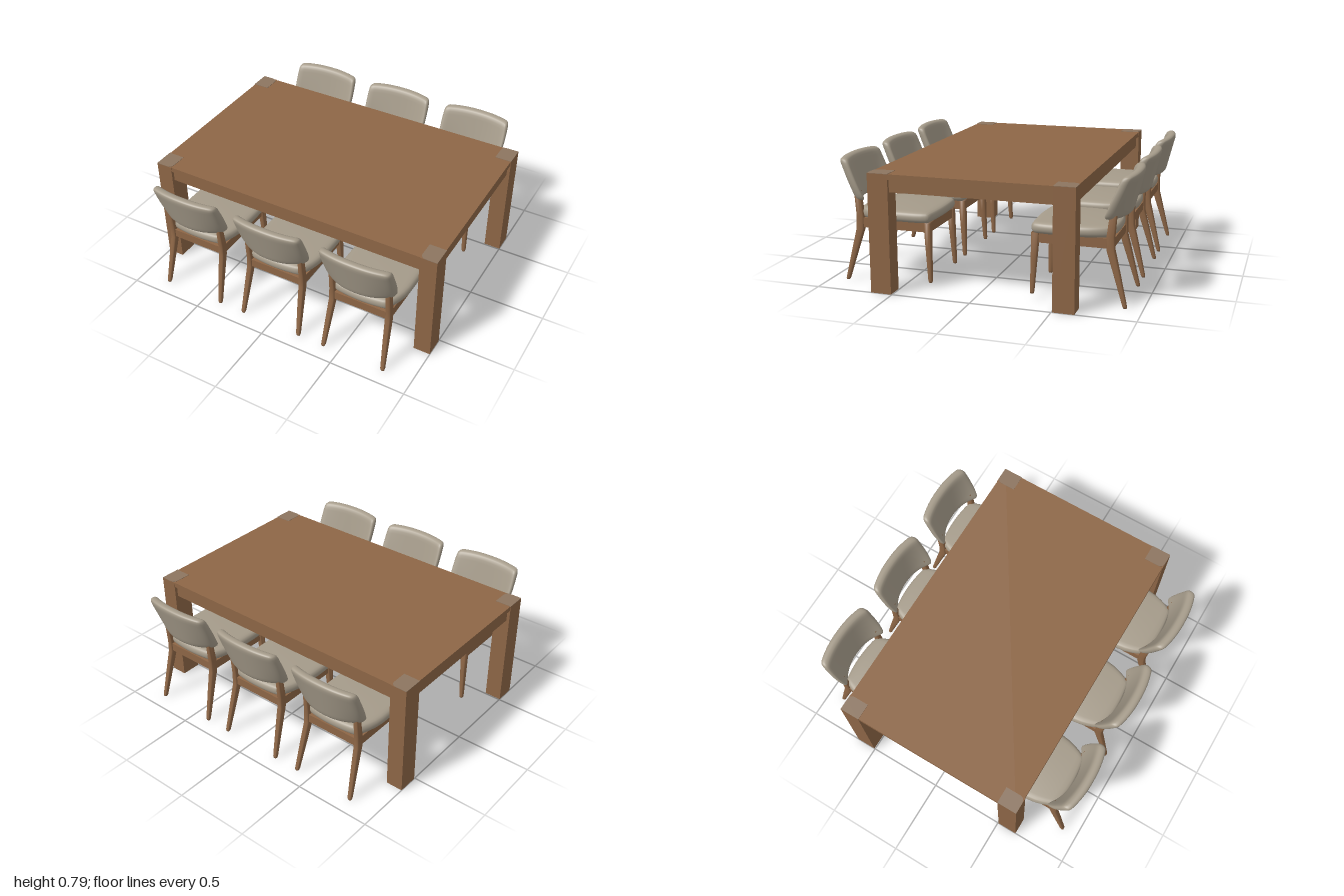
import * as THREE from 'three';
import { mergeVertices } from 'three/addons/utils/BufferGeometryUtils.js';

const material = (name, color) => Object.assign(new THREE.MeshStandardMaterial({ color }), { name });

function add(parent, name, geometry, mat, x = 0, y = 0, z = 0) {
  const mesh = new THREE.Mesh(geometry, mat);
  mesh.name = name;
  mesh.position.set(x, y, z);
  parent.add(mesh);
  return mesh;
}

// Cushion: a finely divided box with rounded edges, bent by a warp rule
function cushion(w, h, d, r, warp) {
  let g = new THREE.BoxGeometry(2, 2, 2, 20, 14, 14);
  g.deleteAttribute('uv');
  g.deleteAttribute('normal');
  g = mergeVertices(g);
  const half = new THREE.Vector3(w / 2, h / 2, d / 2);
  const inner = half.clone().subScalar(r);
  const p = new THREE.Vector3(), core = new THREE.Vector3();
  const pos = g.attributes.position;
  const dense = (t) => Math.sin(t * Math.PI / 2);
  for (let i = 0; i < pos.count; i++) {
    p.fromBufferAttribute(pos, i);
    p.set(dense(p.x), dense(p.y), dense(p.z)).multiply(half);
    core.copy(p).clamp(inner.clone().negate(), inner);
    p.sub(core).setLength(r).add(core);
    warp(p);
    pos.setXYZ(i, p.x, p.y, p.z);
  }
  g.computeVertexNormals();
  return g;
}

// Tapered leg lofted through level rings [x, y, z, halfWidth, halfDepth], bottom to top
function taperedLeg(rings, sides = 12) {
  const pos = [], index = [];
  const soft = (c) => Math.sign(c) * Math.pow(Math.abs(c), 0.6);
  for (const [x, y, z, hw, hd] of rings) {
    for (let i = 0; i < sides; i++) {
      const a = (i / sides) * Math.PI * 2;
      pos.push(x + hw * soft(Math.cos(a)), y, z - hd * soft(Math.sin(a)));
    }
  }
  for (let k = 0; k < rings.length - 1; k++) {
    for (let i = 0; i < sides; i++) {
      const a = k * sides + i, b = k * sides + (i + 1) % sides;
      index.push(a, b, b + sides, a, b + sides, a + sides);
    }
  }
  const top = (rings.length - 1) * sides;
  for (let i = 1; i < sides - 1; i++) {
    index.push(0, i + 1, i, top, top + i, top + i + 1);
  }
  const g = new THREE.BufferGeometry();
  g.setAttribute('position', new THREE.Float32BufferAttribute(pos, 3));
  g.setIndex(index);
  g.computeVertexNormals();
  return g;
}

function makeTable(wood, inlay) {
  const table = new THREE.Group();
  table.name = 'table';
  const H = 0.745, X = 1, Z = 0.638, lw = 0.11, ld = 0.132;

  // Top, flush with the outside of the legs
  add(table, 'tableTop', new THREE.BoxGeometry(2 * X - 0.006, 0.033, 2 * Z - 0.006), wood, 0, H - 0.0165, 0);

  // Corner plate with a rounded inner corner
  const s = new THREE.Shape();
  s.moveTo(0, 0);
  s.lineTo(lw, 0);
  s.lineTo(lw, ld - 0.04);
  s.quadraticCurveTo(lw, ld, lw - 0.04, ld);
  s.lineTo(0, ld);
  const plate = new THREE.ExtrudeGeometry(s, { depth: 0.003, bevelEnabled: false });
  plate.rotateX(-Math.PI / 2);

  for (const sx of [-1, 1]) {
    for (const sz of [-1, 1]) {
      add(table, 'tableLeg', new THREE.BoxGeometry(lw, H, ld), wood, sx * (X - lw / 2), H / 2, sz * (Z - ld / 2));
      const g = plate.clone().translate(-lw / 2, 0, ld / 2);
      // Mirror, and restore the winding where one axis only is flipped
      g.scale(-sx, 1, -sz);
      if (sx * sz < 0) {
        const p = g.attributes.position;
        const v = [new THREE.Vector3(), new THREE.Vector3()];
        for (let i = 0; i < p.count; i += 3) {
          v[0].fromBufferAttribute(p, i + 1);
          v[1].fromBufferAttribute(p, i + 2);
          p.setXYZ(i + 1, ...v[1]);
          p.setXYZ(i + 2, ...v[0]);
        }
      }
      // The shape grows towards -z, so this keeps its square corner outside
      g.scale(1, 1, -1).scale(1, 1, -1);
      g.computeVertexNormals();
      add(table, 'cornerPlate', g, inlay, sx * (X - lw / 2), H - 0.0005, sz * (Z - ld / 2));
    }
  }

  // Aprons set back from the edge, with a shadow groove under the top
  for (const s2 of [-1, 1]) {
    add(table, 'longApron', new THREE.BoxGeometry(2 * (X - lw), 0.07, 0.03), wood, 0, 0.67, s2 * (Z - 0.035));
    add(table, 'longApronCleat', new THREE.BoxGeometry(2 * (X - lw), 0.02, 0.02), wood, 0, 0.707, s2 * (Z - 0.045));
    add(table, 'endApron', new THREE.BoxGeometry(0.03, 0.08, 2 * (Z - ld)), wood, s2 * (X - 0.035), 0.673, 0);
  }
  return table;
}

function makeChair(wood, fabric) {
  const chair = new THREE.Group();
  chair.name = 'chair';

  // Seat, narrowing to the back and slightly domed
  const seat = cushion(0.48, 0.068, 0.52, 0.033, (p) => {
    const u = p.x / 0.24, t = p.z / 0.26;
    p.y += 0.012 * (1 - u * u) * (1 - t * t) * (p.y > 0 ? 1 : 0);
    const back = Math.max(0, (p.z - 0.03) / 0.23), front = Math.max(0, (-p.z - 0.12) / 0.14);
    p.x *= 1 - 0.26 * back ** 2 - 0.07 * front ** 2;
    p.z -= 0.02 * u * u * Math.max(0, t) - 0.015 * u * u * Math.max(0, -t);
  });
  add(chair, 'seat', seat, fabric, 0, 0.442, 0.567);

  // Backrest, leaning back with its sides wrapping forward
  const backrest = cushion(0.48, 0.272, 0.062, 0.029, (p) => {
    const v = p.y / 0.272 + 0.5, u = Math.abs(p.x / 0.24);
    p.z += THREE.MathUtils.lerp(0.852, 0.918, v) - THREE.MathUtils.lerp(0.085, 0.035, v) * u ** 2.3;
    p.x *= 1 - 0.09 * (1 - v) ** 4 - 0.03 * v ** 3;
    p.y -= 0.008 * u * u * v;
  });
  add(chair, 'backrest', backrest, fabric, 0, 0.656, 0);

  for (const s of [-1, 1]) {
    add(chair, 'rearLeg', taperedLeg([
      [s * 0.208, 0, 0.893, 0.011, 0.010],
      [s * 0.207, 0.012, 0.890, 0.014, 0.013],
      [s * 0.197, 0.2, 0.838, 0.018, 0.021],
      [s * 0.190, 0.34, 0.798, 0.020, 0.027],
      [s * 0.190, 0.42, 0.796, 0.019, 0.026],
      [s * 0.190, 0.58, 0.812, 0.016, 0.022],
    ]), wood);
    add(chair, 'frontLeg', taperedLeg([
      [s * 0.207, 0.033, 0.327, 0.010, 0.010],
      [s * 0.206, 0.045, 0.328, 0.013, 0.013],
      [s * 0.198, 0.25, 0.337, 0.018, 0.020],
      [s * 0.192, 0.41, 0.344, 0.021, 0.025],
    ]), wood);
    add(chair, 'sideRail', new THREE.BoxGeometry(0.026, 0.06, 0.46), wood, s * 0.19, 0.38, 0.57);
  }
  add(chair, 'rearRail', new THREE.BoxGeometry(0.37, 0.055, 0.028), wood, 0, 0.375, 0.798);
  add(chair, 'frontRail', new THREE.BoxGeometry(0.37, 0.06, 0.028), wood, 0, 0.38, 0.345);
  return chair;
}

export function createModel() {
  const wood = material('wood', 0x8d6646);
  const fabric = material('fabric', 0xa59b8a);
  const inlay = material('paleWood', 0x8c7560);

  const model = new THREE.Group();
  model.name = 'diningSet';
  model.add(makeTable(wood, inlay));

  // Three chairs along each long side, facing the table
  for (const x of [-0.597, 0, 0.597]) {
    for (const turn of [0, Math.PI]) {
      const chair = makeChair(wood, fabric);
      chair.position.x = x;
      chair.rotation.y = turn;
      model.add(chair);
    }
  }
  return model;
}
